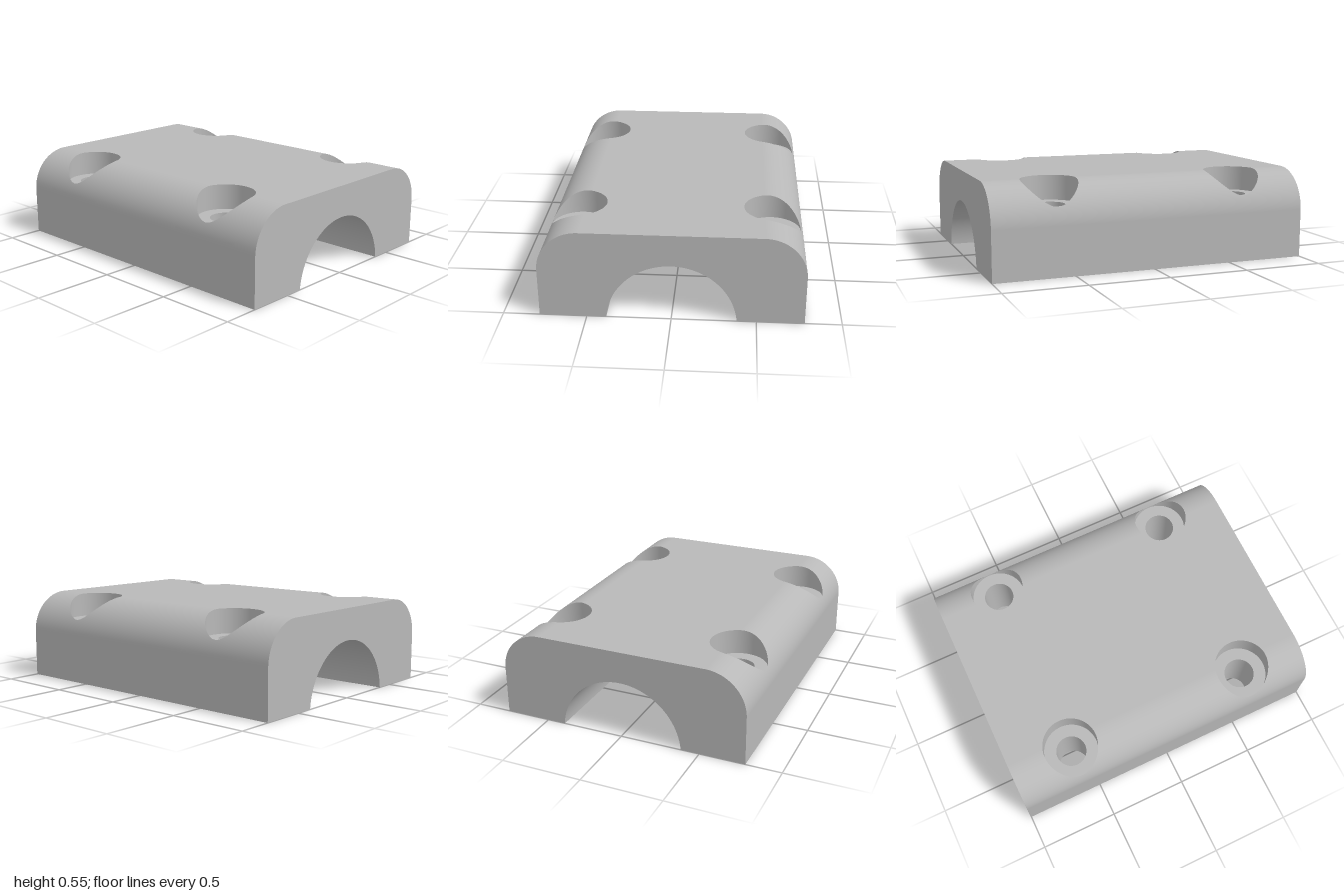
import * as THREE from 'three';

// Half width, height, half length, corner rounding
const W = 0.782, H = 0.552, L = 1, R = 0.25;
const XF = W - R, YF = H - R;
// Bore radius and how far its axis lies below the base
const BORE = 0.386, DROP = 0.031, A0 = Math.asin(DROP / BORE), INNER = BORE * Math.cos(A0);
// Counterbored screw holes
const HX = 0.585, HZ = 0.6, RC = 0.172, RH = 0.095, FLOOR = 0.4;
// Surface steps: s runs along the flat top and then down the rounded corner
const STEP = (R * Math.PI / 2) / 16, SIDE = 22;
const S0 = XF - 6 * STEP, S1 = XF + 16 * STEP, PATCH = 0.25;

// Grid surface from a function of two indices; it faces du x dv
function sheet(nu, nv, point) {
  const pos = [], index = [];
  for (let j = 0; j <= nv; j++) {
    for (let i = 0; i <= nu; i++) pos.push(...point(i / nu, j));
  }
  for (let j = 0; j < nv; j++) {
    for (let i = 0; i < nu; i++) {
      const a = j * (nu + 1) + i, b = a + 1, c = a + nu + 1, d = c + 1;
      index.push(a, b, d, a, d, c);
    }
  }
  const g = new THREE.BufferGeometry();
  g.setAttribute('position', new THREE.Float32BufferAttribute(pos, 3));
  g.setIndex(index);
  g.computeVertexNormals();
  return g;
}

// Point on the top surface, and the surface position of a given x
function onTop(s, z) {
  if (s <= XF) return [s, H, z];
  const a = (s - XF) / R;
  return [XF + R * Math.sin(a), YF + R * Math.cos(a), z];
}
const surfaceAt = (x) => (x <= XF ? x : XF + R * Math.asin((x - XF) / R));

// Exact smooth normals for the top and rounded corner
function smoothTop(g) {
  const p = g.attributes.position, n = g.attributes.normal;
  for (let i = 0; i < p.count; i++) {
    if (p.getX(i) > XF) n.setXYZ(i, (p.getX(i) - XF) / R, (p.getY(i) - YF) / R, 0);
    else n.setXYZ(i, 0, 1, 0);
  }
  return g;
}

// Exact normals towards the axis of a screw hole
function smoothHole(g, cz, r) {
  const p = g.attributes.position, n = g.attributes.normal;
  for (let i = 0; i < p.count; i++) n.setXYZ(i, (HX - p.getX(i)) / r, 0, (cz - p.getZ(i)) / r);
  return g;
}

// Point k of the circle around a hole, and of the rectangle around its patch
const RING = SIDE * 4;
function circle(k, r, cz) {
  const a = -Math.PI / 4 + (k / RING) * Math.PI * 2;
  return [HX + r * Math.cos(a), cz - r * Math.sin(a)];
}
function border(k, cz) {
  const side = Math.floor(k / SIDE) % 4, t = (k % SIDE) / SIDE;
  const s = THREE.MathUtils.lerp(S0, S1, t), rs = S0 + S1 - s;
  const z = PATCH * (1 - 2 * t);
  return [[S1, cz + z], [rs, cz - PATCH], [S0, cz - z], [s, cz + PATCH]][side];
}

export function createModel() {
  const grey = new THREE.MeshStandardMaterial({ color: 0xb8b8b8 });
  grey.name = 'plain grey';
  const model = new THREE.Group();
  model.name = 'clampBlock';
  const add = (parent, name, geometry) => {
    const mesh = new THREE.Mesh(geometry, grey);
    mesh.name = name;
    parent.add(mesh);
    return mesh;
  };

  // The block is the same after half a turn, so each half is built alike
  const buildHalf = (name) => {
    const half = new THREE.Group();
    half.name = name;
    model.add(half);

    // Flat middle of the top, and the strips before, between and after the holes
    add(half, 'topMiddle', smoothTop(sheet(1, 1, (u, j) => [j * S0, H, L * (2 * u - 1)])));
    const strips = [[-L, -HZ - PATCH], [-HZ + PATCH, HZ - PATCH], [HZ + PATCH, L]];
    for (const [z0, z1] of strips) {
      add(half, 'roundedShoulder', smoothTop(sheet(1, SIDE, (u, j) =>
        onTop(S0 + j * STEP, z0 + u * (z1 - z0)))));
    }

    for (const cz of [-HZ, HZ]) {
      // Top surface around the hole
      add(half, 'holeSurround', smoothTop(sheet(10, RING, (u, k) => {
        const [x, z] = circle(k, RC, cz), [bs, bz] = border(k, cz), s = surfaceAt(x);
        return onTop(s + (bs - s) * u, z + (bz - z) * u);
      })));
      // Counterbore wall, its floor and the through hole
      add(half, 'counterboreWall', smoothHole(sheet(1, RING, (u, k) => {
        const [x, z] = circle(k, RC, cz), rim = onTop(surfaceAt(x), z)[1];
        return [x, FLOOR + (rim - FLOOR) * u, z];
      }), cz, RC));
      add(half, 'counterboreFloor', sheet(1, RING, (u, k) => {
        const [x, z] = circle(k, RH + (RC - RH) * u, cz);
        return [x, FLOOR, z];
      }));
      add(half, 'screwHole', smoothHole(sheet(1, RING, (u, k) => {
        const [x, z] = circle(k, RH, cz);
        return [x, FLOOR * u, z];
      }), cz, RH));
    }

    // Upright side wall
    const wall = new THREE.PlaneGeometry(2 * L, YF).rotateY(Math.PI / 2);
    add(half, 'sideWall', wall.translate(W, YF / 2, 0));

    // Foot with its two screw holes
    const foot = new THREE.Shape([
      new THREE.Vector2(INNER, -L), new THREE.Vector2(W, -L),
      new THREE.Vector2(W, L), new THREE.Vector2(INNER, L),
    ]);
    for (const cz of [-HZ, HZ]) {
      foot.holes.push(new THREE.Path().absarc(HX, cz, RH, 0, Math.PI * 2, true));
    }
    add(half, 'foot', new THREE.ShapeGeometry(foot, RING / 2).rotateX(Math.PI / 2));

    // End face
    const end = new THREE.Shape();
    end.moveTo(INNER, 0);
    end.lineTo(W, 0);
    end.absarc(XF, YF, R, 0, Math.PI / 2, false);
    end.absarc(-XF, YF, R, Math.PI / 2, Math.PI, false);
    end.lineTo(-W, 0);
    end.lineTo(-INNER, 0);
    end.absarc(0, -DROP, BORE, Math.PI - A0, A0, true);
    add(half, 'endFace', new THREE.ShapeGeometry(end, 32).translate(0, 0, L));
    return half;
  };
  buildHalf('leftHalf');
  buildHalf('rightHalf').rotation.y = Math.PI;

  // Round channel along the underside
  add(model, 'channel', sheet(1, 64, (u, j) => {
    const a = A0 + (j / 64) * (Math.PI - 2 * A0);
    return [BORE * Math.cos(a), BORE * Math.sin(a) - DROP, L * (2 * u - 1)];
  }));
  return model;
}
